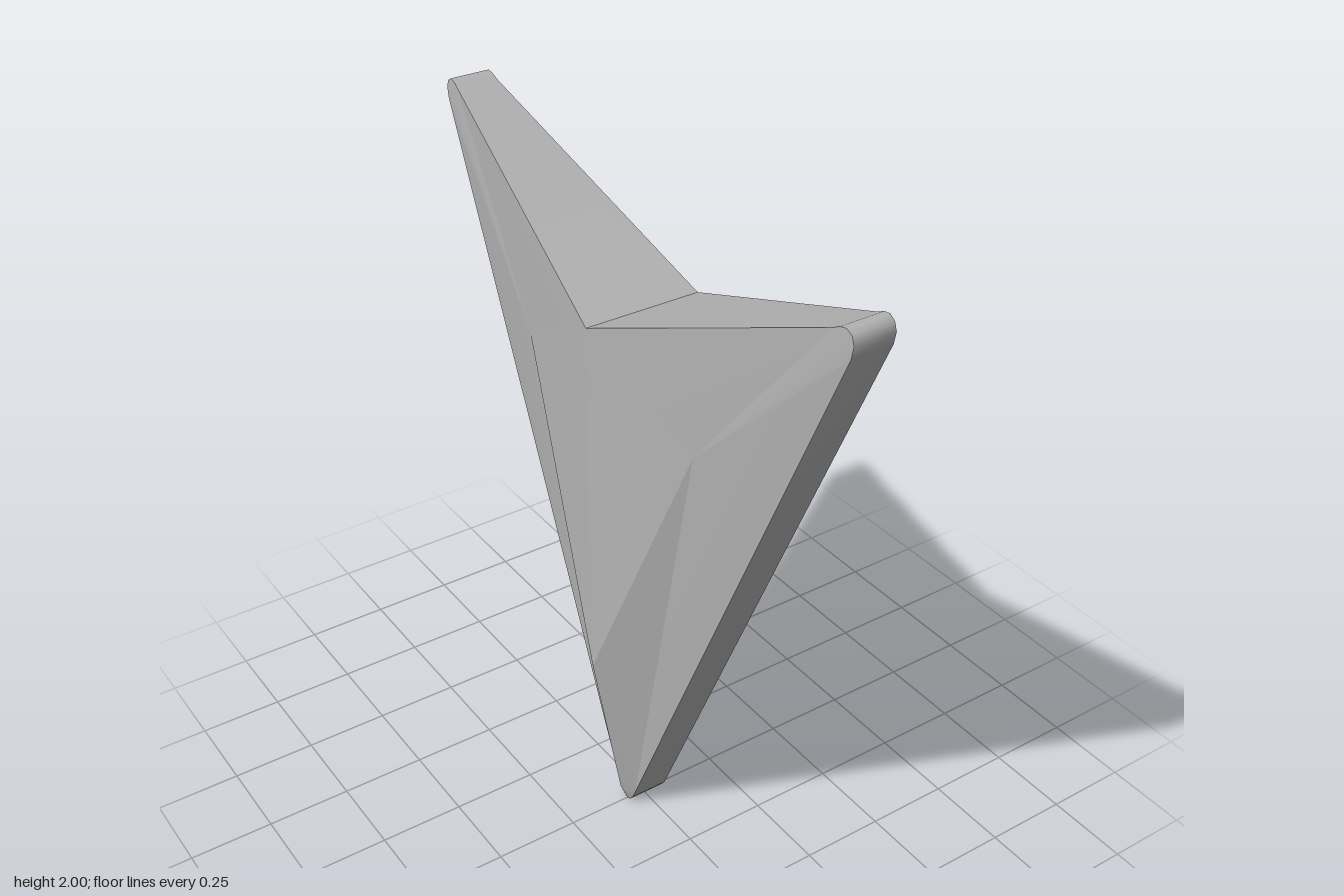
import * as THREE from 'three';
import { toCreasedNormals } from 'three/addons/utils/BufferGeometryUtils.js';

// Half outline from notch round the upper tip to the bottom point: [half thickness x, y, z]
const outline = [
  [0.17, 1.65, 0],
  [0.062, 1.984, 0.8], [0.06, 1.996, 0.822], [0.059, 2.0, 0.842], [0.058, 1.99, 0.86],
  [0.058, 1.968, 0.868], [0.058, 1.935, 0.862],
  [0.058, 0.06, 0.046], [0.057, 0.028, 0.032], [0.056, 0.007, 0.016], [0.056, 0, 0],
];
const notch = outline[0];
const kink = [0.11, 1.45, 0.38];   // bend of the inner facet
const ridge = [0.17, 0.57, 0];     // lower end of the centre ridge
const tipRidge = [0.08, 0.06, 0];  // where the ridge meets the rounded point

// Triangles copied to all mirror signs, with winding kept outward
function mirrored(triangles, signsX) {
  const pos = [];
  for (const sx of signsX) for (const sz of [1, -1]) {
    for (const [a, b, c] of triangles) {
      const order = sx * sz > 0 ? [a, b, c] : [a, c, b];
      for (const p of order) pos.push(p[0] * sx, p[1], p[2] * sz);
    }
  }
  const g = new THREE.BufferGeometry();
  g.setAttribute('position', new THREE.Float32BufferAttribute(pos, 3));
  return g;
}

export function createModel() {
  const group = new THREE.Group();
  group.name = 'arrowhead';
  const grey = new THREE.MeshStandardMaterial({ color: 0xb4b4b4 });
  grey.name = 'plainGrey';

  // Faceted side faces
  const faces = [[notch, kink, ridge]];
  for (let i = 0; i < 7; i++) faces.push([outline[i], outline[i + 1], kink]);
  faces.push([kink, outline[7], ridge], [ridge, outline[7], tipRidge]);
  for (let i = 7; i < 10; i++) faces.push([outline[i], outline[i + 1], tipRidge]);
  const sides = new THREE.Mesh(toCreasedNormals(mirrored(faces, [1, -1]), 0.08), grey);
  sides.name = 'sideFacets';

  // Rim wall joining the two sides, smooth round the tips
  const wall = [];
  const flip = ([x, y, z]) => [-x, y, z];
  for (let i = 0; i < outline.length - 1; i++) {
    const p = outline[i], q = outline[i + 1];
    wall.push([p, flip(p), flip(q)], [p, flip(q), q]);
  }
  const rim = new THREE.Mesh(toCreasedNormals(mirrored(wall, [1]), 0.75), grey);
  rim.name = 'rim';

  group.add(sides, rim);
  return group;
}
